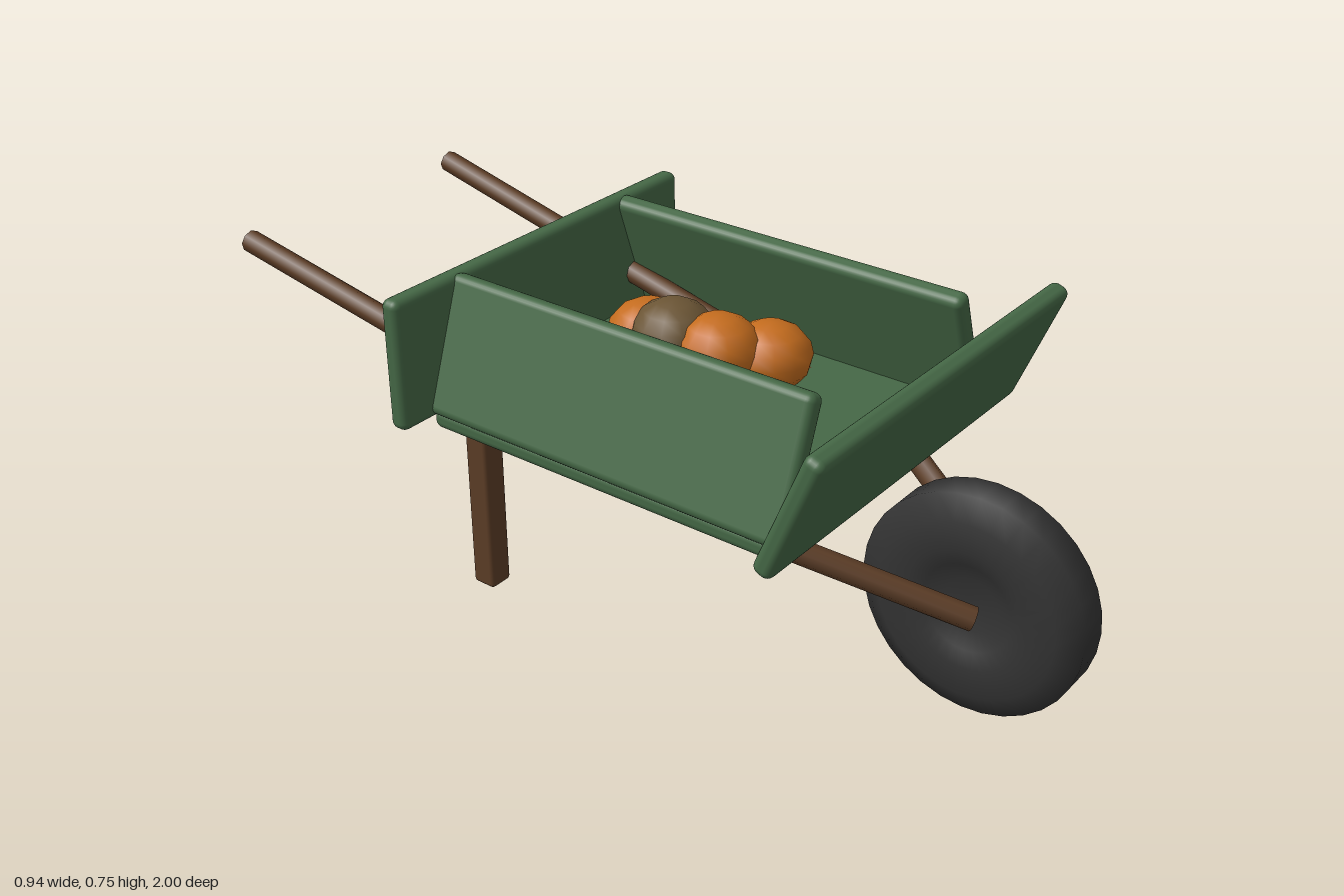
import * as THREE from 'three';
import { RoundedBoxGeometry } from 'three/addons/geometries/RoundedBoxGeometry.js';

const mat = (color) => new THREE.MeshStandardMaterial({ color });
const green = mat(0x456846), wood = mat(0x5c3d26), rubber = mat(0x333333);
const orange = mat(0xc46c1e), brown = mat(0x6b5535);

export function createModel() {
  const model = new THREE.Group();

  function add(name, geometry, material, x, y, z) {
    const mesh = new THREE.Mesh(geometry, material);
    mesh.name = name;
    mesh.position.set(x, y, z);
    model.add(mesh);
    return mesh;
  }

  const board = (w, h, d, r = 0.018) => new RoundedBoxGeometry(w, h, d, 3, r);

  // Round rod between two points
  function rod(name, a, b, r) {
    const dir = b.clone().sub(a);
    const mid = a.clone().add(b).multiplyScalar(0.5);
    const mesh = add(name, new THREE.CylinderGeometry(r, r, dir.length(), 8), wood, mid.x, mid.y, mid.z);
    mesh.quaternion.setFromUnitVectors(new THREE.Vector3(0, 1, 0), dir.normalize());
  }

  // Tray: floor, upright back board, front board leaning outward
  add('trayFloor', board(0.75, 0.045, 0.91), green, 0, 0.447, 0.07);
  add('backBoard', board(0.94, 0.3, 0.046), green, 0, 0.603, -0.395);
  add('frontBoard', board(0.94, 0.305, 0.046), green, 0, 0.6, 0.588).rotation.x = 0.38;

  for (const s of [1, -1]) {
    const side = s > 0 ? 'left' : 'right';

    // Side board leaning inward at the top
    add(side + 'SideBoard', board(0.046, 0.308, 0.915), green, s * 0.318, 0.605, 0.067).rotation.z = s * 0.34;

    // Leg
    add(side + 'Leg', board(0.06, 0.44, 0.06, 0.01), wood, s * 0.275, 0.22, -0.335);

    // Handle running under the tray, then bending in to the axle
    const grip = new THREE.Vector3(s * 0.323, 0.685, -0.99);
    const bend = new THREE.Vector3(s * 0.268, 0.395, 0.38);
    const axle = new THREE.Vector3(s * 0.075, 0.252, 0.78);
    rod(side + 'Handle', grip, bend, 0.026);
    rod(side + 'WheelStrut', bend, axle, 0.026);
    add(side + 'HandleElbow', new THREE.SphereGeometry(0.026, 8, 6), wood, bend.x, bend.y, bend.z);
  }

  // Wheel: chunky tyre with a dished hub
  const profile = [
    [0, -0.03], [0.06, -0.032], [0.1, -0.05], [0.135, -0.062], [0.2, -0.062], [0.25, -0.036],
    [0.25, 0.036], [0.2, 0.062], [0.135, 0.062], [0.1, 0.05], [0.06, 0.032], [0, 0.03],
  ].map(([r, h]) => new THREE.Vector2(r, h));
  add('wheel', new THREE.LatheGeometry(profile, 32), rubber, 0, 0.25, 0.75).rotation.z = Math.PI / 2;

  // Load of slightly flattened gourds
  const gourd = new THREE.SphereGeometry(0.095, 12, 8);
  const load = [
    [-0.22, 0.54, 0.205, orange], [0.16, 0.54, 0.12, orange], [0.07, 0.57, 0.045, orange],
    [0.065, 0.555, -0.14, orange], [-0.155, 0.535, -0.085, brown], [0.055, 0.58, -0.065, brown],
  ];
  load.forEach(([x, y, z, m], i) => {
    const g = add('gourd' + (i + 1), gourd, m, x, y, z);
    g.scale.y = 0.82;
    g.rotation.y = i * 0.7;
  });

  return model;
}
